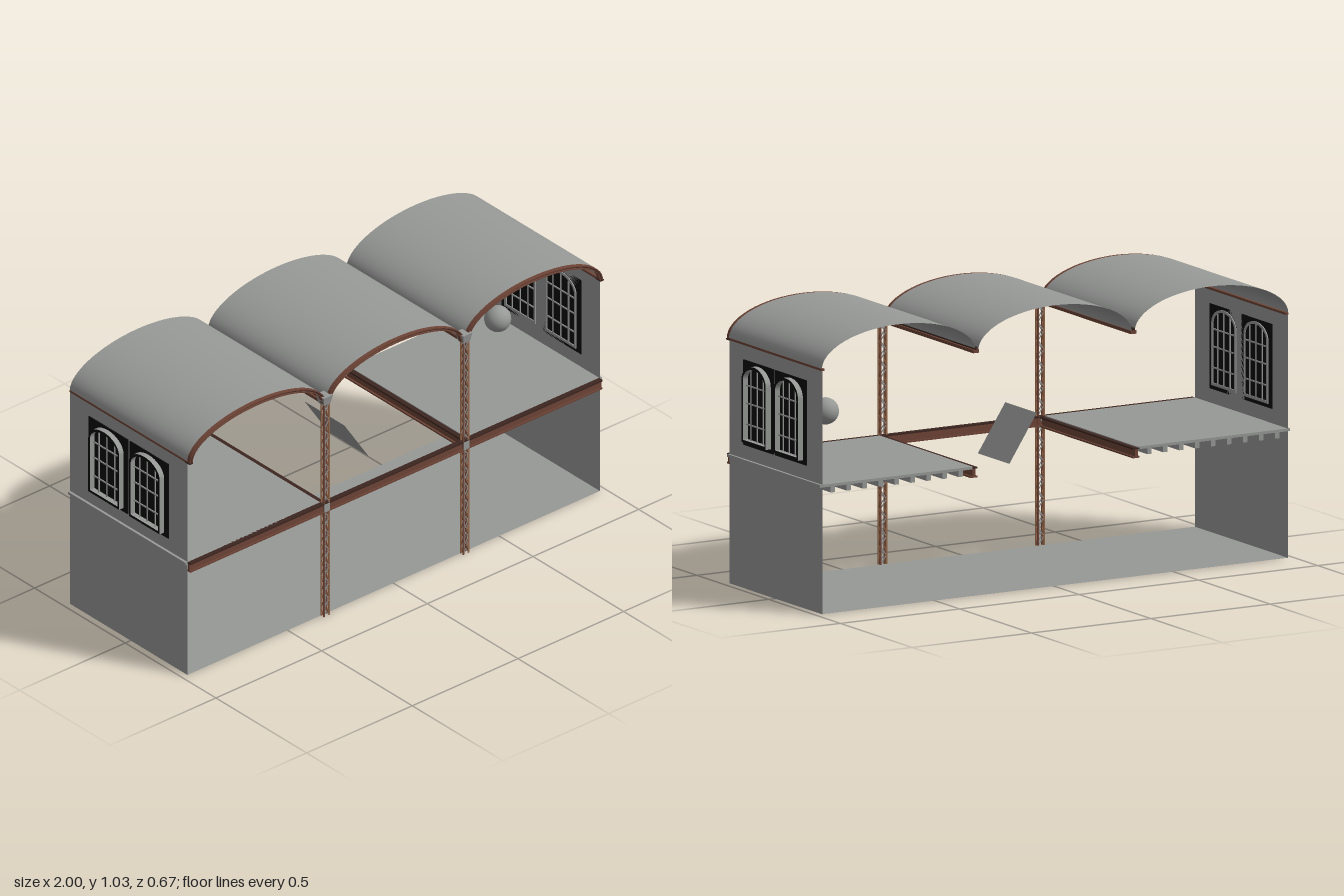
import * as THREE from 'three';

const mat = (name, color, side = THREE.FrontSide) => {
  const m = new THREE.MeshStandardMaterial({ color, side });
  m.name = name;
  return m;
};

export function createModel() {
  const grey = mat('plaster grey', 0x979997, THREE.DoubleSide);
  const brown = mat('painted iron brown', 0x6e4436);
  const dark = mat('dark iron', 0x3c2620);
  const rust = mat('rusty iron', 0x946648);
  const black = mat('window black', 0x0b0b0b, THREE.DoubleSide);

  const model = new THREE.Group();
  const HALF = 0.975, BACK = -0.333, FRONT = 0.315, BAY = 0.33;

  const add = (parent, name, geo, material, x = 0, y = 0, z = 0) => {
    const m = new THREE.Mesh(geo, material);
    m.name = name;
    m.position.set(x, y, z);
    parent.add(m);
    return m;
  };
  // Box given by its limits
  const box = (parent, name, material, x0, x1, y0, y1, z0, z1) =>
    add(parent, name, new THREE.BoxGeometry(x1 - x0, y1 - y0, z1 - z0), material,
      (x0 + x1) / 2, (y0 + y1) / 2, (z0 + z1) / 2);
  const group = (name, parent = model) => {
    const g = new THREE.Group();
    g.name = name;
    parent.add(g);
    return g;
  };

  // Ground floor and end walls are single sheets
  const depth = FRONT - BACK, midZ = (FRONT + BACK) / 2;
  add(model, 'groundFloor', new THREE.PlaneGeometry(2 * HALF, depth), grey, 0, 0.001, midZ).rotation.x = -Math.PI / 2;
  for (const s of [-1, 1]) {
    add(model, 'endWall', new THREE.PlaneGeometry(depth, 0.9), grey, s * HALF, 0.45, midZ).rotation.y = s * Math.PI / 2;
  }

  // Vaulted roof: three elliptical bays
  const archPoints = (a, b, n = 32) => Array.from({ length: n + 1 }, (_, i) => {
    const t = Math.PI * (1 - i / n);
    return new THREE.Vector2(a * Math.cos(t), b * Math.sin(t));
  });
  const archBand = (a, b, t, d) => new THREE.ExtrudeGeometry(
    new THREE.Shape([...archPoints(a, b), ...archPoints(a - t, b - t).reverse()]),
    { depth: d, bevelEnabled: false });
  for (const cx of [-0.655, 0, 0.655]) {
    const bay = group('roofBay');
    bay.position.set(cx, 0.897, 0);
    const vault = new THREE.CylinderGeometry(1, 1, depth, 40, 1, true, Math.PI / 2, Math.PI);
    vault.rotateX(Math.PI / 2);
    vault.scale(0.322, 0.133, 1);
    add(bay, 'vault', vault, grey, 0, 0, midZ);
    // I-section rib along the front edge
    add(bay, 'ribOuterFlange', archBand(0.322, 0.132, 0.004, 0.017), brown, 0, 0, 0.313);
    add(bay, 'ribWeb', archBand(0.318, 0.128, 0.007, 0.006), dark, 0, 0, 0.318);
    add(bay, 'ribInnerFlange', archBand(0.312, 0.122, 0.004, 0.017), brown, 0, 0, 0.313);
  }
  // Valley beams and wall plates below the roof edges
  for (const s of [-1, 1]) {
    box(model, 'valleyBeam', brown, s * BAY - 0.012, s * BAY + 0.012, 0.89, 0.902, BACK, FRONT);
    box(model, 'valleyBeamWeb', dark, s * BAY - 0.004, s * BAY + 0.004, 0.902, 0.912, BACK, FRONT);
    box(model, 'wallPlate', brown, s * 0.972 - 0.006, s * 0.972 + 0.006, 0.892, 0.9, BACK, FRONT);
    box(model, 'ribFoot', dark, s * 0.972 - 0.008, s * 0.972 + 0.008, 0.892, 0.897, 0.305, 0.332);
  }

  // I-beam along x, centred in its group
  const iBeam = (name, length, height, width) => {
    const g = group(name), L = length / 2, h = height / 2, w = width / 2;
    box(g, 'topFlange', dark, -L, L, h - 0.006, h, -w, w);
    box(g, 'web', brown, -L, L, -h + 0.006, h - 0.006, -w * 0.45, w * 0.45);
    box(g, 'bottomFlange', brown, -L, L, -h, -h + 0.006, -w, w);
    return g;
  };
  iBeam('frontBeam', 1.95, 0.038, 0.02).position.set(0, 0.456, 0.321);

  // Side platforms with edge beam and joists
  for (const s of [-1, 1]) {
    const span = [s * 0.345, s * 0.985].sort((a, b) => a - b);
    box(model, 'platform', grey, span[0], span[1], 0.465, 0.475, BACK, FRONT);
    const edge = iBeam('platformEdgeBeam', depth, 0.038, 0.028);
    edge.rotation.y = Math.PI / 2;
    edge.position.set(s * 0.34, 0.453, midZ);
    for (let i = 0; i < 9; i++) {
      const x = s * (0.395 + i * 0.067);
      box(model, 'joist', grey, x - 0.009, x + 0.009, 0.443, 0.465, BACK, 0.31);
    }
  }

  // Lattice columns: four corner angles with crossing lacing
  const lace = (parent, x0, y0, z0, x1, y1, z1, material) => {
    const a = new THREE.Vector3(x0, y0, z0), b = new THREE.Vector3(x1, y1, z1);
    const m = add(parent, 'lacing', new THREE.BoxGeometry(0.003, a.distanceTo(b), 0.003), material);
    m.position.copy(a).add(b).multiplyScalar(0.5);
    m.quaternion.setFromUnitVectors(new THREE.Vector3(0, 1, 0), b.sub(a).normalize());
  };
  for (const s of [-1, 1]) {
    const col = group('latticeColumn');
    col.position.set(s * BAY, 0, 0.3215);
    for (const px of [-1, 1]) for (const pz of [-1, 1]) {
      box(col, 'cornerAngle', pz * px > 0 ? rust : brown,
        px * 0.012 - 0.003, px * 0.012 + 0.003, 0, 0.892, pz * 0.007 - 0.002, pz * 0.007 + 0.002);
    }
    const n = 26, step = 0.89 / n;
    for (let i = 0; i < n; i++) {
      const d = i % 2 ? 1 : -1, y0 = i * step, y1 = y0 + step;
      for (const f of [-1, 1]) {
        lace(col, -d * 0.012, y0, f * 0.007, d * 0.012, y1, f * 0.007, grey);
        lace(col, f * 0.012, y0, -d * 0.007, f * 0.012, y1, d * 0.007, rust);
      }
    }
    box(col, 'beamPlate', grey, -0.014, 0.014, 0.44, 0.472, 0.009, 0.0115);
    // Flared capital
    const cap = new THREE.CylinderGeometry(0.022 * Math.SQRT2, 0.015 * Math.SQRT2, 0.036, 4).toNonIndexed();
    cap.rotateY(Math.PI / 4);
    cap.computeVertexNormals();
    add(col, 'capital', cap, grey, 0, 0.907, -0.004);
  }

  // Arched window pairs on both end walls
  const arch = (w, y0, rise, Type = THREE.Shape) => {
    const p = new Type();
    p.moveTo(-w, y0);
    p.lineTo(w, y0);
    p.lineTo(w, 0.77);
    p.absellipse(0, 0.77, w, rise, 0, Math.PI, false);
    p.lineTo(-w, y0);
    return p;
  };
  const frameShape = arch(0.085, 0.543, 0.06);
  frameShape.holes.push(arch(0.075, 0.553, 0.05, THREE.Path));
  const frame = (d) => new THREE.ExtrudeGeometry(frameShape, { depth: d, bevelEnabled: false, curveSegments: 16 });

  for (const s of [-1, 1]) {
    for (const [z, z0, z1] of [[0.105, 0, 0.213], [-0.119, -0.227, -0.011]]) {
      const x = s * (HALF + 0.002);
      box(model, 'windowBacking', black, x - 0.002, x + 0.002, 0.527, 0.839, z0, z1);
      const win = group('archedWindow');
      win.position.set(s * HALF, 0, z);
      win.rotation.y = s * Math.PI / 2;
      add(win, 'outerFrame', frame(0.023), [black, grey], 0, 0, 0.002);
      add(win, 'innerPane', new THREE.ShapeGeometry(arch(0.085, 0.543, 0.06), 16), black, 0, 0, -0.002);
      add(win, 'innerFrame', frame(0.004), grey, 0, 0, -0.007);
      for (const d of [0.01, -0.005]) {
        for (const bx of [-0.043, 0, 0.043]) {
          box(win, 'verticalBar', grey, bx - 0.002, bx + 0.002, 0.548, bx ? 0.81 : 0.825, d - 0.002, d + 0.002);
        }
        for (const by of [0.609, 0.686, 0.751]) {
          box(win, 'horizontalBar', grey, -0.083, 0.083, by - 0.0025, by + 0.0025, d - 0.002, d + 0.002);
        }
      }
    }
  }

  // Hanging globe and tilted panel
  add(model, 'globe', new THREE.SphereGeometry(0.049, 32, 20), grey, 0.762, 0.665, 0);
  const panel = group('tiltedPanel');
  panel.position.set(0, 0.503, 0);
  panel.rotation.z = -0.99;
  add(panel, 'panelSheet', new THREE.PlaneGeometry(0.21, 0.22), grey).rotation.x = -Math.PI / 2;

  return model;
}
